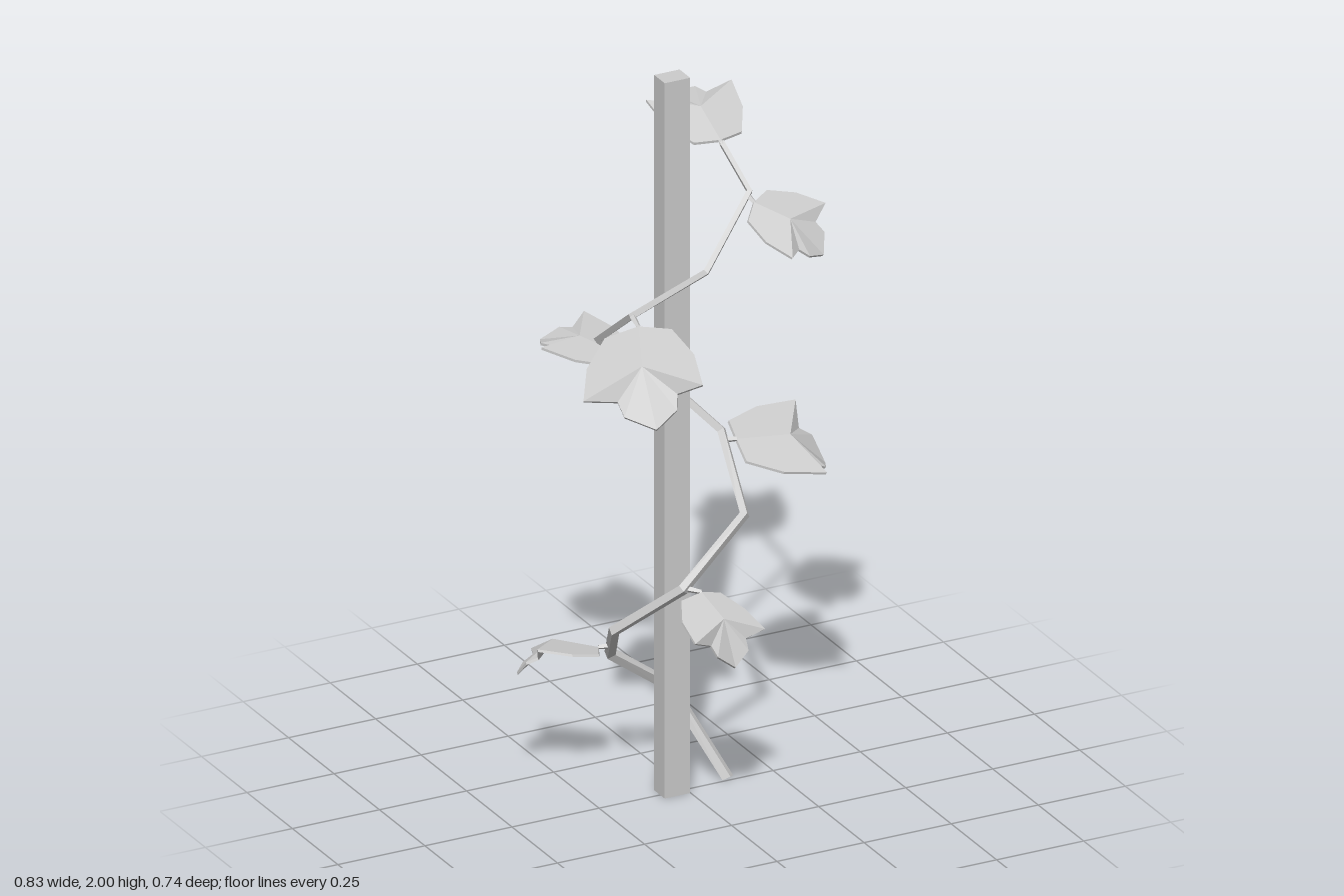
import * as THREE from 'three';

const V = (p) => new THREE.Vector3(...p);
const grey = new THREE.MeshStandardMaterial({ color: 0xcccccc, flatShading: true, side: THREE.DoubleSide });

// Corner points of the climbing stem, bottom to top
const stemPath = [
  [0.125, 0, -0.01], [0.04, 0.215, -0.17], [-0.14, 0.35, -0.15], [-0.22, 0.5, 0.025],
  [-0.1, 0.65, 0.175], [0.1, 0.8, 0.13], [0.135, 0.95, -0.065], [0, 1.1, -0.19],
  [-0.19, 1.25, -0.12], [-0.2, 1.4, 0.085], [-0.04, 1.53, 0.187], [0.135, 1.68, 0.09],
  [0.12, 1.77, -0.035],
];

// Each leaf: where its stalk leaves the stem, then its base, centre, tip, right lobe and left lobe
const leaves = [
  { stalk: [-0.17, 0.4, -0.09], base: [-0.2, 0.4, -0.1], centre: [-0.3, 0.42, -0.16],
    tip: [-0.4, 0.345, -0.165], right: [-0.305, 0.35, -0.27], left: [-0.385, 0.44, -0.08] },
  { stalk: [-0.09, 0.65, 0.175], base: [-0.06, 0.645, 0.2], centre: [-0.04, 0.6, 0.285],
    tip: [-0.03, 0.48, 0.33], right: [-0.15, 0.575, 0.34], left: [0.065, 0.56, 0.31] },
  { stalk: [0.13, 0.93, -0.05], base: [0.165, 0.93, -0.038], centre: [0.31, 0.92, -0.02],
    tip: [0.415, 0.815, -0.03], right: [0.345, 0.86, 0.115], left: [0.39, 0.95, -0.145] },
  { stalk: [-0.09, 1.17, -0.155], base: [-0.1, 1.17, -0.168], centre: [-0.17, 1.2, -0.26],
    tip: [-0.24, 1.17, -0.345], right: [-0.1, 1.21, -0.37], left: [-0.29, 1.2, -0.24] },
  { stalk: [-0.2, 1.4, 0.09], base: [-0.2, 1.385, 0.12], centre: [-0.26, 1.34, 0.255],
    tip: [-0.265, 1.2, 0.345], right: [-0.42, 1.27, 0.24], left: [-0.145, 1.31, 0.37] },
  { stalk: [0.13, 1.67, 0.09], base: [0.135, 1.66, 0.115], centre: [0.2, 1.63, 0.19],
    tip: [0.275, 1.53, 0.23], right: [0.155, 1.57, 0.29], left: [0.325, 1.63, 0.145] },
  { stalk: [0.12, 1.765, -0.03], base: [0.12, 1.775, -0.04], centre: [0.115, 1.83, -0.14],
    tip: [0.09, 1.82, -0.28], right: [0.24, 1.85, -0.21], left: [-0.01, 1.85, -0.2] },
];

// Polyline with shared, mitred rings at its corners
class Polyline extends THREE.Curve {
  constructor(points) { super(); this.points = points.map(V); }
  getPoint(t, out = new THREE.Vector3()) {
    const n = this.points.length - 1;
    const i = Math.min(Math.floor(t * n + 1e-6), n - 1);
    return out.lerpVectors(this.points[i], this.points[i + 1], t * n - i);
  }
  getPointAt(t, out) { return this.getPoint(t, out); }
  getTangentAt(t, out) { return this.getTangent(t, out); }
}

function taperedTube(points, r0, r1, sides) {
  const curve = new Polyline(points), n = points.length - 1;
  const geo = new THREE.TubeGeometry(curve, n, 1, sides);
  const pos = geo.attributes.position, p = new THREE.Vector3();
  for (let i = 0; i < pos.count; i++) {
    const ring = Math.floor(i / (sides + 1)), c = curve.points[ring];
    p.fromBufferAttribute(pos, i).sub(c).multiplyScalar(r0 + (r1 - r0) * ring / n).add(c);
    pos.setXYZ(i, p.x, Math.max(0, p.y), p.z);
  }
  geo.computeVertexNormals();
  return geo;
}

// Half outline of a leaf: share of the lobe direction, share of the midrib direction
const halfOutline = [[0.56, -0.34], [0.9, -0.28], [1, 0], [0.5, 0.37], [0.44, 0.56]];

function leafGeometry(leaf) {
  const base = V(leaf.base), centre = V(leaf.centre), tip = V(leaf.tip);
  const toTip = tip.clone().sub(base);
  const toCentre = centre.clone().sub(base).divideScalar(0.45);
  const half = (lobe) => halfOutline.map(([k, m]) => base.clone()
    .addScaledVector(V(lobe).sub(base), k)
    .addScaledVector(m < 0 ? toCentre : toTip, m));
  const rim = [base, ...half(leaf.right), tip, ...half(leaf.left).reverse()];
  const thickness = V(leaf.right).sub(V(leaf.left)).cross(toTip).setLength(0.007);

  // Folded upper and lower faces fan out from the centre, joined by a thin rim
  const n = rim.length, upper = [centre, ...rim];
  const all = [...upper, ...upper.map((p) => p.clone().sub(thickness))];
  const index = [];
  for (let i = 0; i < n; i++) {
    const a = 1 + i, b = 1 + (i + 1) % n, c = a + n + 1, d = b + n + 1;
    index.push(0, a, b, n + 1, d, c, a, c, d, a, d, b);
  }
  const geo = new THREE.BufferGeometry().setFromPoints(all);
  geo.setIndex(index);
  geo.computeVertexNormals();
  return geo;
}

export function createModel() {
  const model = new THREE.Group();
  model.name = 'climbingVine';
  const add = (name, geo, parent = model) => {
    const mesh = new THREE.Mesh(geo, grey);
    mesh.name = name;
    parent.add(mesh);
    return mesh;
  };

  // Square support post
  add('post', new THREE.BoxGeometry(0.073, 2, 0.058)).position.set(-0.038, 1, -0.004);

  // Stem winding around the post
  add('stem', taperedTube(stemPath, 0.018, 0.009, 4));

  // Leaves on short stalks
  leaves.forEach((leaf, i) => {
    const group = new THREE.Group();
    group.name = `leaf${i + 1}`;
    add('stalk', taperedTube([leaf.stalk, leaf.base], 0.009, 0.006, 4), group);
    add('blade', leafGeometry(leaf), group);
    model.add(group);
  });
  return model;
}
